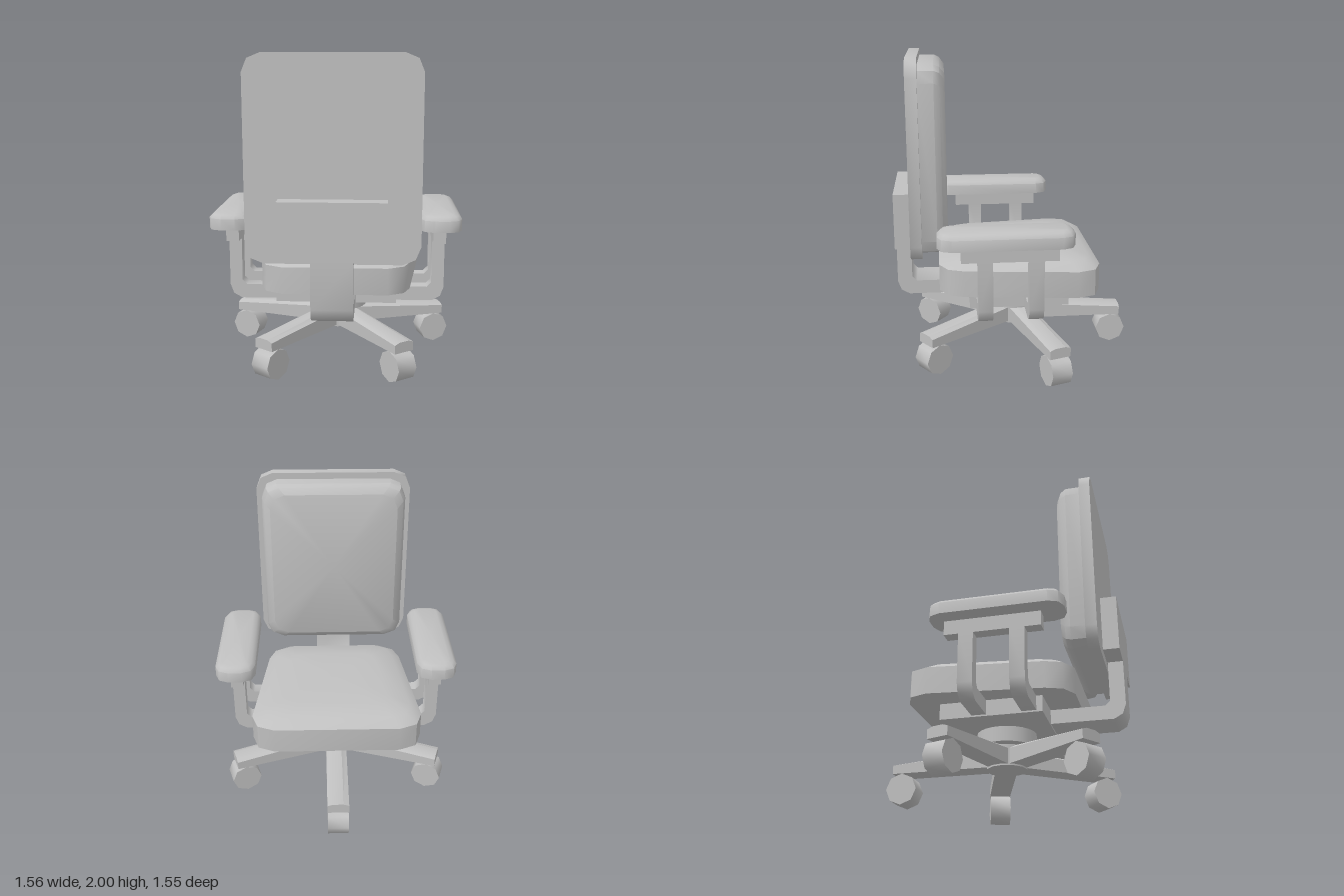
import * as THREE from 'three';
import { toCreasedNormals } from 'three/addons/utils/BufferGeometryUtils.js';

const grey = new THREE.MeshStandardMaterial({ color: 0xc0c0c0 });
grey.name = 'plain grey';

// Rectangle with two-segment rounded corners, counterclockwise
function roundedOutline(w, d, r) {
  const pts = [];
  [[1, 1], [-1, 1], [-1, -1], [1, -1]].forEach(([sx, sy], q) => {
    for (let k = 0; k < 3; k++) {
      const a = (q + k / 2) * Math.PI / 2;
      pts.push([sx * (w / 2 - r) + r * Math.cos(a), sy * (d / 2 - r) + r * Math.sin(a)]);
    }
  });
  return pts;
}

// Stacks outlines (x, -z) at rising heights and closes both ends
function loft(levels, crease) {
  const pos = [], index = [], n = levels[0].pts.length;
  for (const { pts, y } of levels) for (const [x, v] of pts) pos.push(x, y, -v);
  for (let l = 0; l < levels.length - 1; l++) {
    for (let i = 0; i < n; i++) {
      const a = l * n + i, b = l * n + (i + 1) % n;
      index.push(a, b, b + n, a, b + n, a + n);
    }
  }
  const last = levels.length - 1, low = pos.length / 3, high = low + 1;
  pos.push(0, levels[0].y, 0, 0, levels[last].y, 0);
  for (let i = 0; i < n; i++) {
    const j = (i + 1) % n;
    index.push(low, j, i, high, last * n + i, last * n + j);
  }
  const g = new THREE.BufferGeometry();
  g.setAttribute('position', new THREE.Float32BufferAttribute(pos, 3));
  g.setIndex(index);
  return toCreasedNormals(g, crease);
}

// L-shaped support: runs outward along x, bends, then rises
function bracket(start, outer, thick, top, width) {
  const inner = outer - thick;
  const shape = new THREE.Shape([
    [start, 0.43], [outer - 0.075, 0.43], [outer - 0.022, 0.46], [outer, 0.52],
    [outer, top], [inner, top], [inner, 0.55], [inner - 0.03, 0.52], [start, 0.52],
  ].map(([x, y]) => new THREE.Vector2(x, y)));
  const g = new THREE.ExtrudeGeometry(shape, { depth: width, bevelEnabled: false });
  g.translate(0, 0, -width / 2);
  return toCreasedNormals(g, 0.8);
}

export function createModel() {
  const model = new THREE.Group();
  model.name = 'officeChair';

  function add(name, geometry, x = 0, y = 0, z = 0, parent = model) {
    const mesh = new THREE.Mesh(geometry, grey);
    mesh.name = name;
    mesh.position.set(x, y, z);
    parent.add(mesh);
    return mesh;
  }
  const box = (w, h, d) => new THREE.BoxGeometry(w, h, d);

  // Seat cushion: wider at the front (-z), with a shallow dome
  const half = [[0.33, -0.5], [0.43, -0.445], [0.47, -0.34], [0.55, 0.36], [0.51, 0.47], [0.4, 0.515]];
  const seat = [...half, ...half.map(([x, v]) => [-x, v]).reverse()];
  const seatLevels = [[0.53, 1], [0.7, 1], [0.745, 0.87], [0.763, 0.6], [0.772, 0.3]]
    .map(([y, s]) => ({ y, pts: seat.map(([x, v]) => [x * s, v * s]) }));
  add('seatCushion', loft(seatLevels, 0.8));
  add('seatMechanism', box(0.77, 0.1, 0.635), 0, 0.47, -0.008);

  // Backrest: thin shell and padded cushion facing -z
  const shell = loft([0, 0.07].map((y) => ({ y, pts: roundedOutline(1.04, 1.23, 0.11) })), 0.8);
  add('backShell', shell.rotateX(-Math.PI / 2), 0, 1.385, 0.67);
  const padLevels = [[0, 0], [0.1, 0], [0.135, 0.015], [0.165, 0.055]]
    .map(([y, inset]) => ({ y, pts: roundedOutline(0.96 - 2 * inset, 1.155 - 2 * inset, 0.1) }));
  add('backCushion', loft(padLevels, 0.55).rotateX(-Math.PI / 2), 0, 1.38, 0.605);
  add('backPlate', box(0.64, 0.355, 0.1), 0, 0.983, 0.725);
  add('backSupport', bracket(0.3, 0.775, 0.095, 0.81, 0.25).rotateY(-Math.PI / 2));

  // Armrests, the right one turned half round
  const padShape = (inset) => roundedOutline(0.255 - 2 * inset, 0.815 - 2 * inset, 0.085 - inset);
  for (const side of [1, -1]) {
    const arm = new THREE.Group();
    arm.name = side > 0 ? 'leftArmrest' : 'rightArmrest';
    arm.scale.x = side;
    const levels = [[0.93, 0], [1.0, 0], [1.022, 0.022], [1.032, 0.05]]
      .map(([y, inset]) => ({ y, pts: padShape(inset) }));
    add('armPad', loft(levels, 0.8), 0.652, 0, 0.102, arm);
    add('armRail', box(0.08, 0.09, 0.585), 0.65, 0.875, 0.078, arm);
    for (const z of [0.227, -0.08]) {
      add('armSupport', bracket(0.385, 0.69, 0.08, 0.84, 0.09), 0, 0, z, arm);
    }
    model.add(arm);
  }

  // Column and hub
  add('column', new THREE.CylinderGeometry(0.19, 0.19, 0.1, 24), 0, 0.375, 0);
  add('hub', new THREE.CylinderGeometry(0.13, 0.13, 0.14, 12), 0, 0.26, 0);

  // Five tapering legs with octagonal casters, the first pointing to -z
  const section = (h) => [[0.07, -h * 0.82], [0.035, -h], [-0.035, -h], [-0.07, -h * 0.82], [-0.07, 0], [0.07, 0]].reverse();
  const legGeometry = loft([{ y: 0, pts: section(0.13) }, { y: 0.735, pts: section(0.068) }], 0.5)
    .rotateX(-Math.PI / 2).rotateZ(0);
  for (let i = 0; i < 5; i++) {
    const leg = new THREE.Group();
    leg.name = 'baseLeg';
    leg.rotation.y = i * Math.PI * 2 / 5;
    add('legBeam', legGeometry, 0, 0.2, 0, leg);
    const caster = toCreasedNormals(new THREE.CylinderGeometry(0.1, 0.1, 0.135, 8), 0.9);
    add('caster', caster.rotateZ(Math.PI / 2), 0, 0.1, -0.675, leg);
    model.add(leg);
  }
  return model;
}
